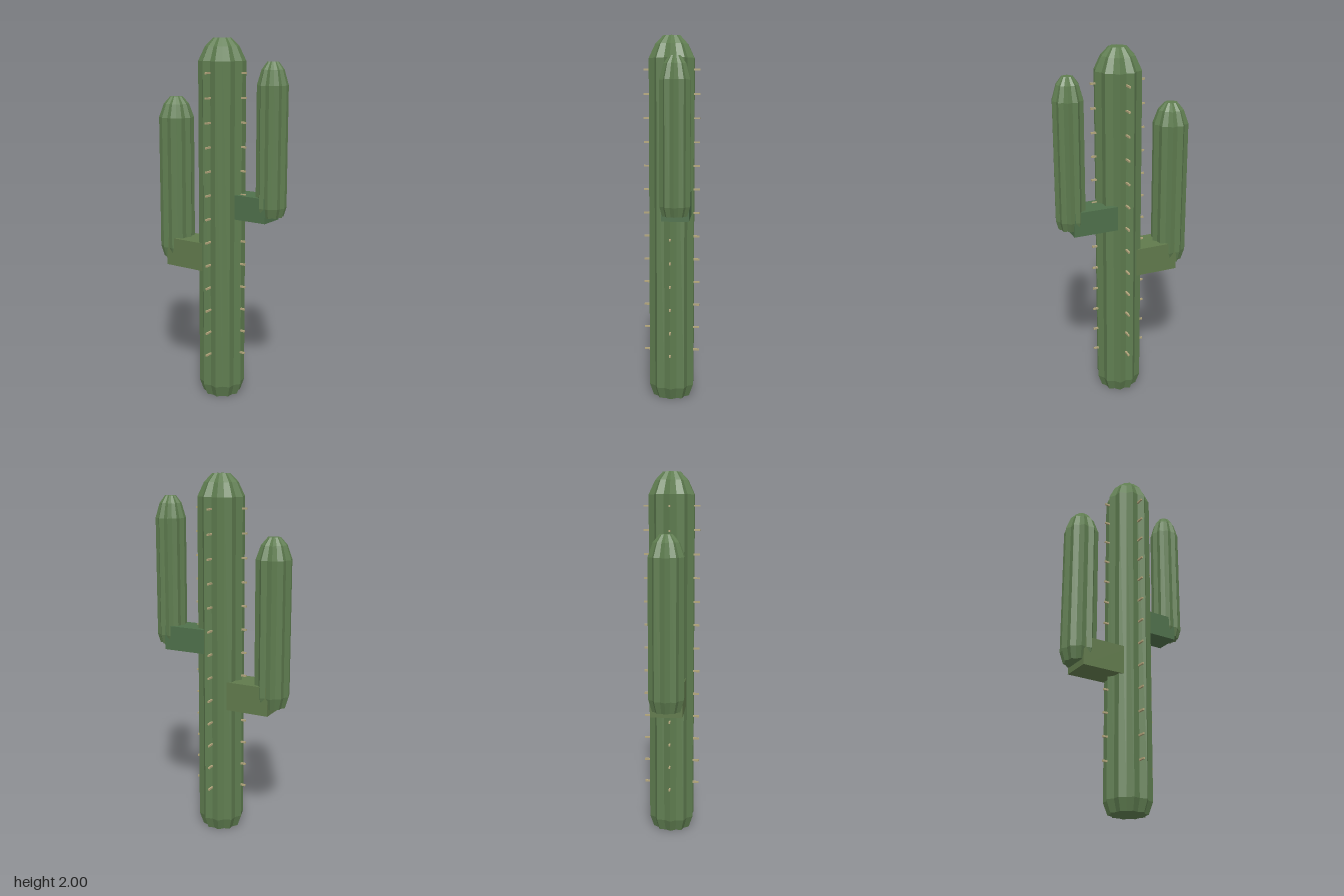
import * as THREE from 'three';

const material = (color) => new THREE.MeshStandardMaterial({ color, flatShading: true });
const RIBS = 10;
const VALLEY = 0.86;

// Ribbed column: a lathe whose every second vertex column is pulled inwards
function ribbedColumn(name, radius, profile, mat) {
  const points = profile.map(([r, y]) => new THREE.Vector2(r * radius, y));
  const geometry = new THREE.LatheGeometry(points, RIBS * 2);
  const pos = geometry.attributes.position;
  for (let i = 0; i < pos.count; i++) {
    const column = Math.floor(i / points.length);
    if (column % 2 === 0) pos.setXYZ(i, pos.getX(i) * VALLEY, pos.getY(i), pos.getZ(i) * VALLEY);
  }
  geometry.computeVertexNormals();
  const mesh = new THREE.Mesh(geometry, mat);
  mesh.name = name;
  return mesh;
}

// Box given by its x and y limits, depth and z centre
function armBase(name, x0, x1, y0, y1, depth, z, mat) {
  const mesh = new THREE.Mesh(new THREE.BoxGeometry(x1 - x0, y1 - y0, depth), mat);
  mesh.position.set((x0 + x1) / 2, (y0 + y1) / 2, z);
  mesh.name = name;
  return mesh;
}

export function createModel() {
  const group = new THREE.Group();
  group.name = 'cactus';
  const green = material(0x5f7d50);
  const oliveGreen = material(0x617a4c);
  const deepGreen = material(0x4f704b);
  const tan = material(0xb3a67c);
  const trunkX = 0.016;

  // Trunk
  const trunk = ribbedColumn('trunk', 0.128, [
    [0, 0], [0.82, 0], [1, 0.065], [1, 1.88], [0.72, 1.955], [0.38, 2], [0, 2],
  ], green);
  trunk.position.x = trunkX;
  group.add(trunk);

  // Lower arm on the -x side
  const lowerArm = ribbedColumn('lowerArm', 0.098, [
    [0, 0.76], [0.8, 0.76], [1, 0.825], [1, 1.565], [0.72, 1.64], [0.36, 1.68], [0, 1.68],
  ], green);
  lowerArm.position.x = -0.296;
  group.add(lowerArm);
  group.add(armBase('lowerArmBase', -0.308, -0.02, 0.725, 0.885, 0.17, 0, oliveGreen));

  // Upper arm on the +x side
  const upperArm = ribbedColumn('upperArm', 0.083, [
    [0, 1.065], [0.82, 1.065], [1, 1.115], [1, 1.76], [0.72, 1.84], [0.36, 1.88], [0, 1.88],
  ], green);
  upperArm.position.set(0.308, 0, -0.039);
  group.add(upperArm);
  group.add(armBase('upperArmBase', 0.05, 0.314, 1.035, 1.17, 0.144, -0.039, deepGreen));

  // Four rows of spines around the trunk
  const spines = new THREE.Group();
  spines.name = 'spines';
  spines.position.x = trunkX;
  const spineGeometry = new THREE.BoxGeometry(0.05, 0.01, 0.009).translate(0.129, 0, 0);
  for (let row = 0; row < 4; row++) {
    for (let i = 0; i < 13; i++) {
      const spine = new THREE.Mesh(spineGeometry, tan);
      spine.name = 'spine';
      spine.position.y = 0.26 + i * 0.13;
      spine.rotation.y = row * Math.PI / 2;
      spines.add(spine);
    }
  }
  group.add(spines);
  return group;
}
